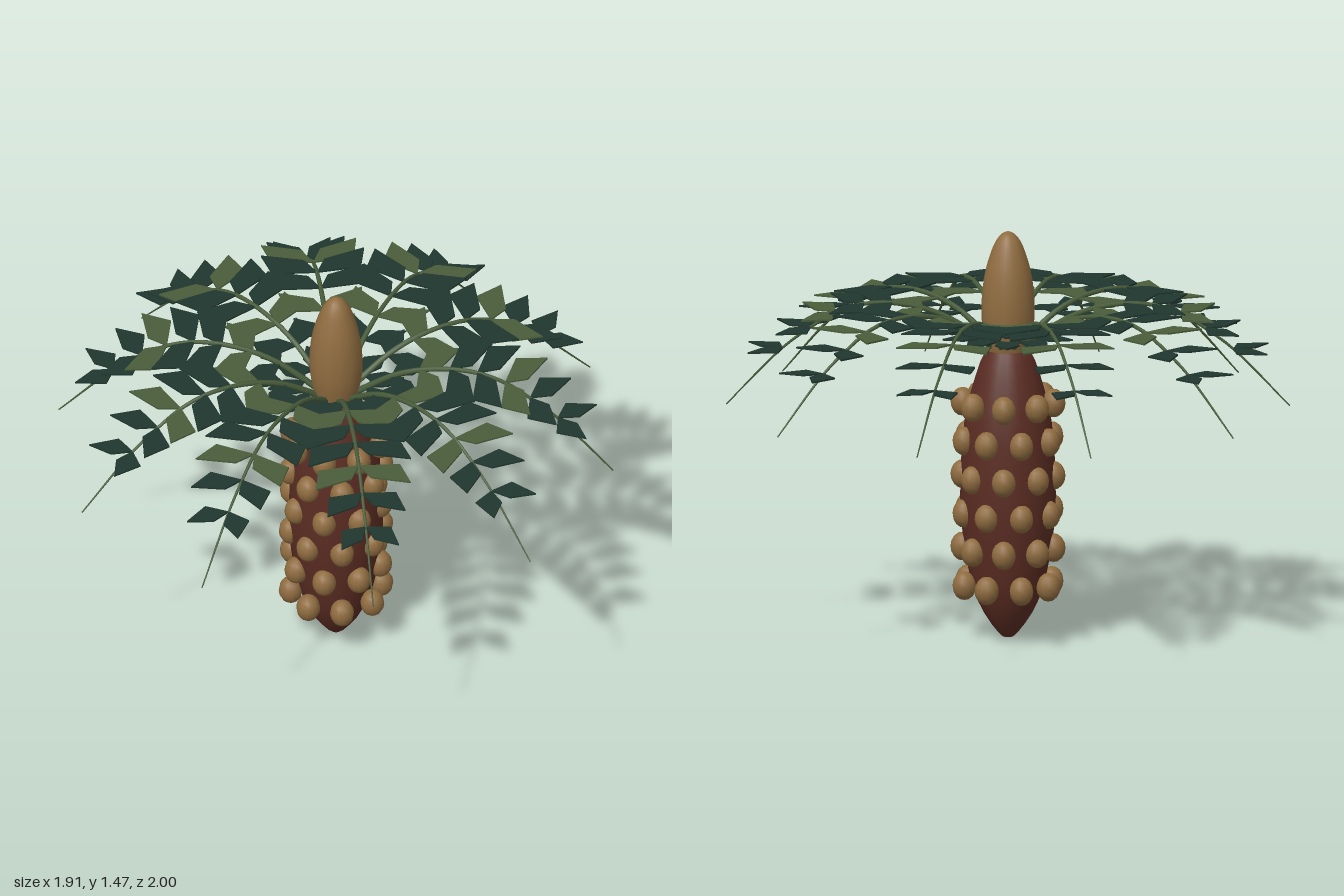
import * as THREE from 'three';

const mat = (name, color) => {
  const m = new THREE.MeshStandardMaterial({ color });
  m.name = name;
  return m;
};

const V2 = (x, y) => new THREE.Vector2(x, y);

export function createModel() {
  const model = new THREE.Group();
  model.name = 'conePlant';
  const bark = mat('reddish brown', 0x5a2c22);
  const tan = mat('tan', 0x8f6c40);
  const darkGreen = mat('dark green', 0x20362e);
  const lightGreen = mat('light green', 0x495d3b);

  const add = (parent, geometry, material, name) => {
    const mesh = new THREE.Mesh(geometry, material);
    mesh.name = name;
    parent.add(mesh);
    return mesh;
  };

  // Smooth turned shape through a few radius/height points
  const turned = (points, sides) => {
    const curve = new THREE.SplineCurve(points.map(([r, y]) => V2(r, y)));
    const profile = curve.getPoints(24).map(p => V2(Math.max(p.x, 0), p.y));
    return new THREE.LatheGeometry(profile, sides);
  };

  // Trunk and the bud on top of it
  add(model, turned([[0, 0], [0.03, 0.012], [0.092, 0.1], [0.135, 0.22], [0.166, 0.42],
    [0.168, 0.6], [0.155, 0.78], [0.12, 0.93], [0.072, 1.045], [0, 1.05]], 20), bark, 'trunk');
  add(model, turned([[0.075, 1.04], [0.092, 1.13], [0.094, 1.22], [0.082, 1.32],
    [0.055, 1.41], [0.028, 1.455], [0, 1.47]], 14), tan, 'bud');

  // Staggered rings of knobs around the trunk
  const knobs = new THREE.Group();
  knobs.name = 'knobs';
  model.add(knobs);
  const knobGeometry = new THREE.SphereGeometry(0.043, 12, 8);
  for (let row = 0; row < 6; row++) {
    for (let i = 0; i < 8; i++) {
      const a = (i + (row % 2) / 2) * Math.PI / 4;
      const knob = add(knobs, knobGeometry, tan, 'knob');
      knob.position.set(0.162 * Math.sin(a), 0.195 + 0.131 * row, 0.162 * Math.cos(a));
      knob.rotation.y = a;
      knob.scale.y = 1.2;
    }
  }

  // Arching stalk that thins towards its end
  const arch = [[0.04, 1.04], [0.11, 1.09], [0.2, 1.15], [0.3, 1.19], [0.41, 1.208],
    [0.51, 1.205], [0.61, 1.175], [0.7, 1.12], [0.8, 1.045], [1, 0.84]]
    .map(([r, y]) => new THREE.Vector3(0, y, r));
  const curve = new THREE.CatmullRomCurve3(arch);
  const rings = 28, sides = 6;
  const stalkGeometry = new THREE.TubeGeometry(curve, rings, 0.012, sides, false);
  const pos = stalkGeometry.attributes.position;
  const v = new THREE.Vector3();
  for (let k = 0; k < pos.count; k++) {
    const t = Math.floor(k / (sides + 1)) / rings;
    v.fromBufferAttribute(pos, k).lerp(curve.getPointAt(t), 0.8 * t);
    pos.setXYZ(k, v.x, v.y, v.z);
  }

  // Level, blunt-ended leaflet leaning forward on one side of the stalk
  const leaflet = (w, side) => {
    const corners = [[0, 0], [0.86 * w, 0.012], [w, 0.122], [0.2 * w, 0.075]];
    const shape = new THREE.Shape(corners.map(([x, y]) => V2(x * side, y)));
    return new THREE.ExtrudeGeometry(shape, { depth: 0.006, bevelEnabled: false })
      .rotateX(Math.PI / 2);
  };
  const widths = [0.075, 0.11, 0.15, 0.175, 0.185, 0.17, 0.14, 0.103];
  const leaflets = widths.map(w => [leaflet(w, 1), leaflet(w, -1)]);

  // Ten fronds around the crown
  for (let f = 0; f < 10; f++) {
    const frond = new THREE.Group();
    frond.name = 'frond';
    frond.rotation.y = f * Math.PI / 5;
    model.add(frond);
    add(frond, stalkGeometry, lightGreen, 'stalk');
    leaflets.forEach((pair, i) => pair.forEach(geometry => {
      const leaf = add(frond, geometry, i % 3 === 2 ? lightGreen : darkGreen, 'leaflet');
      leaf.position.copy(arch[i + 1]);
      leaf.position.y += 0.003;
    }));
  }
  return model;
}
